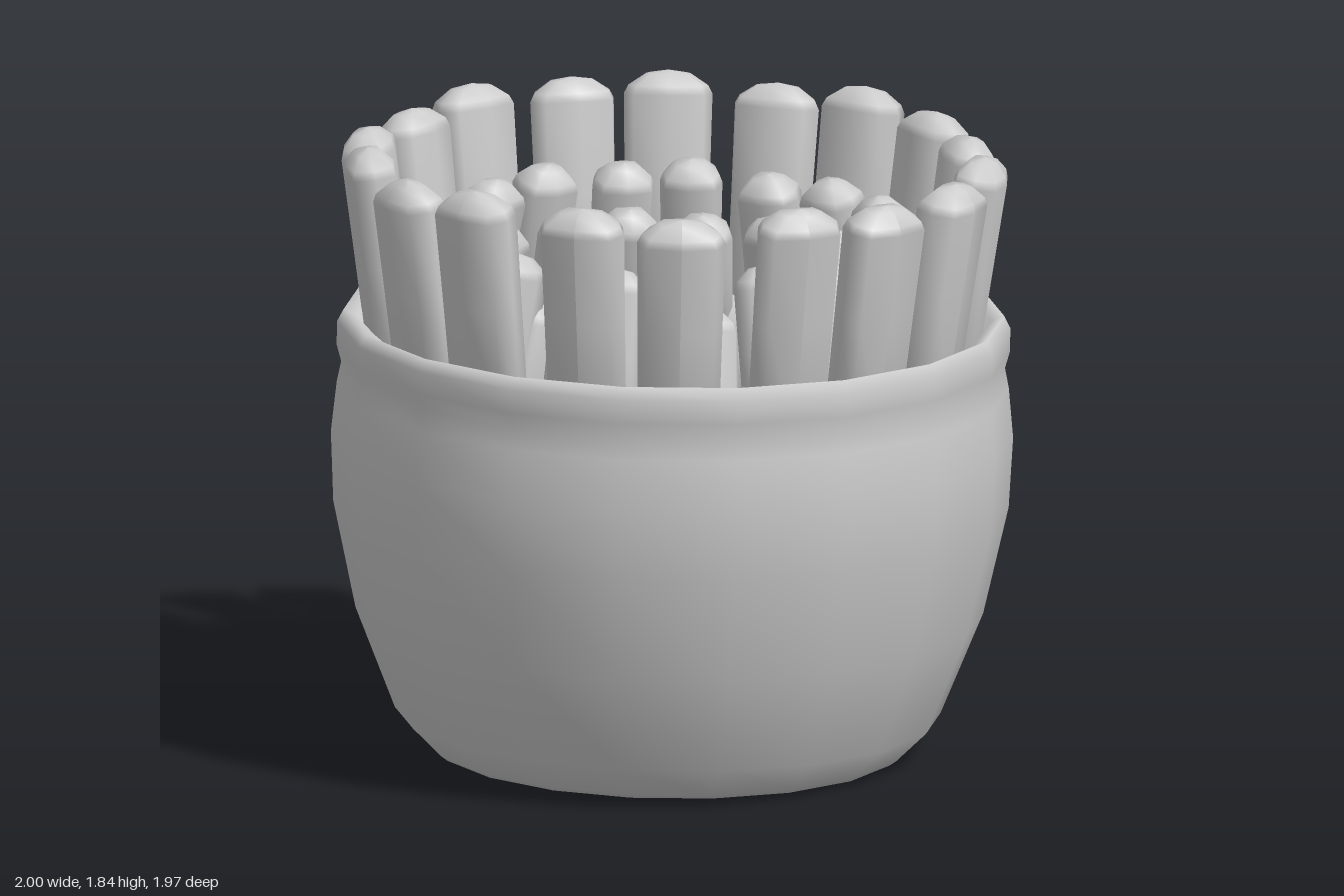
import * as THREE from 'three';

const material = new THREE.MeshStandardMaterial({ color: 0xcccccc, side: THREE.DoubleSide });
const SIDES = 18;

// Flattened peg with a blunt domed tip, from y = 0 up to y = length
function toothGeometry(halfWidth, halfDepth, length) {
  const profile = [
    [0.001, 0], [0.92, 0], [0.96, length * 0.5], [1, length - 0.07],
    [0.9, length - 0.045], [0.5, length - 0.01], [0.001, length],
  ].map(([r, y]) => new THREE.Vector2(r, y));
  const geometry = new THREE.LatheGeometry(profile, 8);
  // Push the diagonals out so the cross-section is a little boxy
  const p = geometry.attributes.position;
  for (let i = 0; i < p.count; i++) {
    const x = p.getX(i), z = p.getZ(i);
    const boxy = 1 + 0.28 * Math.abs(x * z) / (x * x + z * z);
    p.setXYZ(i, x * boxy * halfWidth, p.getY(i), z * boxy * halfDepth);
  }
  geometry.computeVertexNormals();
  return geometry;
}

// One ring of teeth: tips are [x, z]; the root radius is the tip radius times rootScale
function toothRing(name, tips, { rootY, tipY, rootScale, halfWidth, halfDepth }) {
  const ring = new THREE.Group();
  ring.name = name;
  tips.forEach(([x, z], i) => {
    const height = tipY + 0.012 * Math.sin(i * 2.3);
    const root = new THREE.Vector3(x * rootScale, rootY, z * rootScale);
    const axis = new THREE.Vector3(x, height, z).sub(root);
    const tooth = new THREE.Mesh(toothGeometry(halfWidth, halfDepth, axis.length()), material);
    const up = axis.normalize();
    const side = new THREE.Vector3().crossVectors(up, new THREE.Vector3(x, 0, z)).normalize();
    const out = new THREE.Vector3().crossVectors(side, up);
    tooth.quaternion.setFromRotationMatrix(new THREE.Matrix4().makeBasis(side, up, out));
    tooth.position.copy(root);
    tooth.name = 'tooth';
    ring.add(tooth);
  });
  return ring;
}

export function createModel() {
  const model = new THREE.Group();
  model.name = 'toothedTube';

  // Hollow body: up the outside, over the rim, down the inside
  const profile = [
    [0.665, 0.03], [0.69, 0.015], [0.71, 0.03], [0.8, 0.12], [0.92, 0.42], [0.99, 0.74],
    [1, 0.95], [0.985, 1.1], [0.973, 1.16], [0.987, 1.21], [0.987, 1.28],
    [0.968, 1.317], [0.93, 1.3], [0.86, 1.24], [0.74, 1.17], [0.66, 1.09],
    [0.635, 0.95], [0.64, 0.5], [0.65, 0.15], [0.665, 0.03],
  ].map(([r, y]) => new THREE.Vector2(r, y));
  const body = new THREE.Mesh(new THREE.LatheGeometry(profile, SIDES, Math.PI / 2), material);
  body.name = 'body';
  model.add(body);

  // Tall outer teeth, leaning outward
  model.add(toothRing('outerTeeth', [
    [0.02, -0.91], [0.31, -0.87], [0.59, -0.7], [0.79, -0.51], [0.88, -0.16], [0.88, 0.12],
    [0.79, 0.46], [0.61, 0.69], [0.32, 0.88], [0.04, 0.91], [-0.31, 0.85], [-0.56, 0.68],
    [-0.79, 0.4], [-0.9, 0.14], [-0.89, -0.21], [-0.79, -0.48], [-0.56, -0.71], [-0.31, -0.87],
  ], { rootY: 1.15, tipY: 1.82, rootScale: 0.9, halfWidth: 0.13, halfDepth: 0.078 }));

  // Shorter middle teeth, leaning inward
  model.add(toothRing('middleTeeth', [
    [0.11, -0.7], [0.3, -0.65], [0.48, -0.49], [0.6, -0.3], [0.66, -0.07], [0.66, 0.13],
    [0.56, 0.36], [0.44, 0.49], [0.21, 0.64], [0.02, 0.67], [-0.23, 0.63], [-0.39, 0.55],
    [-0.61, 0.3], [-0.68, 0.11], [-0.66, -0.22], [-0.57, -0.41], [-0.31, -0.65], [-0.13, -0.7],
  ], { rootY: 1.1, tipY: 1.6, rootScale: 1.15, halfWidth: 0.092, halfDepth: 0.078 }));

  // Small inner teeth around the opening
  model.add(toothRing('innerTeeth', [
    [-0.09, -0.6], [0.1, -0.62], [0.3, -0.56], [0.47, -0.43], [0.56, -0.24], [0.54, -0.07],
    [0.54, 0.17], [0.45, 0.34], [0.3, 0.48], [0.14, 0.55], [-0.11, 0.55], [-0.29, 0.53],
    [-0.45, 0.43], [-0.55, 0.3], [-0.63, 0.05], [-0.6, -0.12], [-0.48, -0.4], [-0.33, -0.53],
  ], { rootY: 1.05, tipY: 1.47, rootScale: 1.2, halfWidth: 0.09, halfDepth: 0.075 }));

  // Slight sideways lean of the whole piece
  model.rotation.z = -0.016;
  model.position.set(-0.015, -0.004, 0);
  const root = new THREE.Group();
  root.name = 'model';
  root.add(model);
  return root;
}
